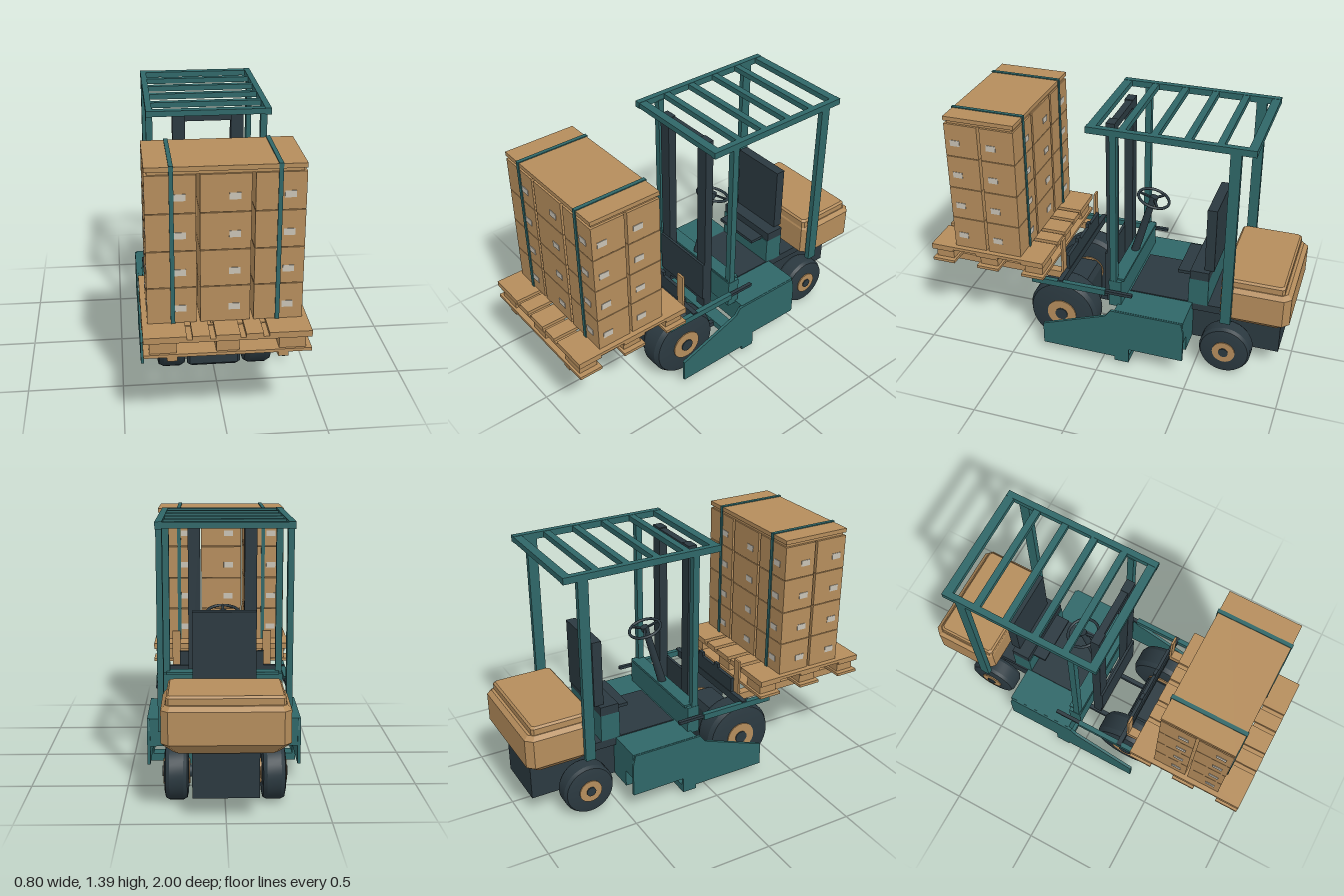
import * as THREE from 'three';
import { toCreasedNormals } from 'three/addons/utils/BufferGeometryUtils.js';

const paint = (name, color) => Object.assign(new THREE.MeshStandardMaterial({ color }), { name });

export function createModel() {
  const root = new THREE.Group();
  root.name = 'loadedForklift';
  const teal = paint('tealPaint', 0x2f6768);
  const dark = paint('darkRubberSteel', 0x2b3940);
  const tan = paint('tan', 0xb58d5c);
  const pale = paint('paleLabel', 0xc8c2b5);

  const add = (name, geo, mat, parent = root) => {
    const m = new THREE.Mesh(geo, mat);
    m.name = name;
    parent.add(m);
    return m;
  };
  // Box given by its limits on each axis
  const box = (name, mat, x0, x1, y0, y1, z0, z1, parent = root) => {
    const m = add(name, new THREE.BoxGeometry(x1 - x0, y1 - y0, z1 - z0), mat, parent);
    m.position.set((x0 + x1) / 2, (y0 + y1) / 2, (z0 + z1) / 2);
    return m;
  };
  // The same box on both sides
  const pair = (name, mat, x0, x1, ...rest) => {
    box(name + 'Left', mat, x0, x1, ...rest);
    box(name + 'Right', mat, -x1, -x0, ...rest);
  };
  // Side profile of (z, y) points extruded between two x limits
  const profile = (name, mat, pts, x0, x1) => {
    const shape = new THREE.Shape(pts.map(p => new THREE.Vector2(...p)));
    const geo = new THREE.ExtrudeGeometry(shape, { depth: x1 - x0, bevelEnabled: false });
    geo.rotateY(-Math.PI / 2).translate(x1, 0, 0);
    return add(name, geo, mat);
  };
  // Stack of chamfered rectangles: rows of [y, x half width, z back, z front, chamfer]
  const loft = (name, mat, rows) => {
    const pos = [], idx = [];
    for (const [y, w, a, b, c] of rows)
      for (const [x, z] of [[w, a + c], [w, b - c], [w - c, b], [c - w, b], [-w, b - c], [-w, a + c], [c - w, a], [w - c, a]])
        pos.push(x, y, z);
    const last = (rows.length - 1) * 8;
    for (let r = 0; r < last; r += 8)
      for (let i = 0; i < 8; i++) {
        const j = (i + 1) % 8;
        idx.push(r + i, r + 8 + i, r + j, r + j, r + 8 + i, r + 8 + j);
      }
    for (let i = 1; i < 7; i++) {
      idx.push(0, i, i + 1);
      idx.push(last, last + i + 1, last + i);
    }
    const geo = new THREE.BufferGeometry();
    geo.setAttribute('position', new THREE.Float32BufferAttribute(pos, 3));
    geo.setIndex(idx);
    return add(name, toCreasedNormals(geo, 0.2), mat);
  };

  // Wheels: tyre, tan hub disc and dark hub cap
  const wheel = (name, x, y, z, r, w, hub) => {
    const g = new THREE.Group();
    g.name = name;
    const h = w / 2, b = r * 0.12;
    const pts = [[0, -h], [r * 0.72, -h], [r - b * 0.6, -h + b * 0.4], [r, -h + b * 1.5],
      [r, h - b * 1.5], [r - b * 0.6, h - b * 0.4], [r * 0.72, h], [0, h]].map(p => new THREE.Vector2(...p));
    add('tyre', toCreasedNormals(new THREE.LatheGeometry(pts, 36), 0.35), dark, g);
    add('hub', new THREE.CylinderGeometry(hub, hub, w + 0.012, 28), tan, g);
    add('hubCap', new THREE.CylinderGeometry(hub * 0.42, hub * 0.42, w + 0.024, 20), dark, g);
    g.rotation.z = Math.PI / 2;
    g.position.set(x, y, z);
    root.add(g);
  };
  for (const s of [-1, 1]) {
    wheel('frontWheel', s * 0.233, 0.203, 0.267, 0.197, 0.16, 0.085);
    wheel('rearWheel', s * 0.24, 0.148, -0.665, 0.142, 0.12, 0.063);
  }
  for (const [n, y, z, r] of [['frontAxle', 0.2, 0.267, 0.04], ['rearAxle', 0.148, -0.665, 0.03]]) {
    const a = add(n, new THREE.CylinderGeometry(r, r, 0.4, 16), dark);
    a.rotation.z = Math.PI / 2;
    a.position.set(0, y, z);
  }

  // Drive housing and lower rails
  loft('driveHousing', dark, [[0.02, 0.135, 0.19, 0.35, 0.015], [0.04, 0.146, 0.185, 0.37, 0.015],
    [0.25, 0.146, 0.185, 0.37, 0.015], [0.29, 0.125, 0.2, 0.34, 0.015]]);
  pair('lowerRail', dark, 0.12, 0.145, 0.02, 0.05, -0.075, 0.22);

  // Side plates with sloping front edge
  const side = [[0.347, 0.045], [0.06, 0.045], [-0.07, 0.045], [-0.07, 0.022], [-0.075, 0.05], [-0.155, 0.05],
    [-0.155, 0.11], [-0.46, 0.108], [-0.46, 0.29], [-0.445, 0.352], [-0.05, 0.352], [-0.09, 0.335], [0.347, 0.175]];
  side.splice(2, 4, [-0.075, 0.045], [-0.155, 0.05]);
  side.splice(9, 1, [-0.02, 0.31]);
  for (const s of [-1, 1]) profile('sidePlate', teal, side, s > 0 ? 0.384 : -0.4, s > 0 ? 0.4 : -0.384);

  // Main body, cross step and operator floor
  box('deck', teal, -0.39, 0.39, 0.205, 0.354, -0.455, -0.07);
  profile('bodyUnderside', teal, [[-0.455, 0.108], [-0.2, 0.108], [-0.07, 0.206], [-0.455, 0.206]], -0.3, 0.3);
  box('crossStep', teal, -0.4, 0.4, 0.02, 0.06, -0.155, -0.075);
  box('floorMat', dark, -0.19, 0.19, 0.35, 0.36, -0.44, -0.1);
  box('rearChassis', dark, -0.16, 0.16, 0.11, 0.35, -0.942, -0.455);
  box('rearDeck', dark, -0.19, 0.19, 0.31, 0.355, -0.7, -0.445);

  // Front cowl
  box('cowl', teal, -0.33, 0.33, 0.34, 0.5, -0.09, -0.02);
  box('cowlRim', teal, -0.31, 0.31, 0.495, 0.51, -0.1, -0.025);

  // Seat
  box('seatBase', teal, -0.19, 0.19, 0.35, 0.51, -0.54, -0.43);
  box('seatCushion', dark, -0.19, 0.19, 0.51, 0.562, -0.54, -0.435);
  box('seatLip', dark, -0.14, 0.14, 0.502, 0.52, -0.435, -0.355);
  box('seatBack', dark, -0.16, 0.16, 0.56, 0.935, -0.56, -0.507);

  // Steering column and wheel
  const column = add('steeringColumn', new THREE.CylinderGeometry(0.018, 0.024, 0.4, 12), dark);
  column.position.set(0, 0.675, -0.115);
  column.rotation.x = -0.28;
  const steer = new THREE.Group();
  steer.name = 'steeringWheel';
  const rim = add('steeringRim', new THREE.TorusGeometry(0.088, 0.008, 8, 28), dark, steer);
  rim.rotation.x = Math.PI / 2;
  add('steeringHub', new THREE.CylinderGeometry(0.022, 0.022, 0.025, 14), dark, steer);
  for (let i = 0; i < 3; i++) {
    const pivot = new THREE.Group();
    pivot.rotation.y = i * Math.PI * 2 / 3;
    box('steeringSpoke', dark, -0.007, 0.007, -0.004, 0.004, 0, 0.086, pivot);
    steer.add(pivot);
  }
  steer.position.set(0, 0.858, -0.17);
  steer.rotation.x = -0.3;
  root.add(steer);

  // Counterweight with raised lid
  loft('counterweight', tan, [[0.338, 0.25, -0.955, -0.68, 0.03], [0.39, 0.305, -0.998, -0.625, 0.035],
    [0.55, 0.305, -0.998, -0.625, 0.035], [0.572, 0.285, -0.975, -0.635, 0.025]]);
  loft('counterweightLid', tan, [[0.565, 0.28, -0.96, -0.625, 0.012], [0.604, 0.28, -0.96, -0.625, 0.012],
    [0.615, 0.27, -0.95, -0.635, 0.012]]);

  // Overhead guard
  pair('guardFrontPost', teal, 0.292, 0.328, 0.34, 1.37, -0.062, -0.027);
  pair('guardRearPost', teal, 0.3, 0.33, 0.36, 1.37, -0.695, -0.64);
  pair('guardRail', teal, 0.297, 0.33, 1.365, 1.4, -0.768, 0.098);
  [-0.745, -0.585, -0.42, -0.253, -0.085, 0.074].forEach((z, i) => {
    const h = i % 5 ? 0.018 : 0.023;
    box('guardBar', teal, -0.3, 0.3, 1.368, 1.398, z - h, z + h);
  });

  // Mast
  pair('mastPost', dark, 0.122, 0.19, 0.26, 1.365, -0.01, 0.038);
  box('mastTop', dark, -0.13, 0.13, 1.32, 1.36, -0.008, 0.03);
  box('mastFoot', dark, -0.19, 0.19, 0.3, 0.36, -0.01, 0.04);
  box('mastPlate', dark, -0.19, 0.19, 0.33, 0.575, 0.035, 0.05);

  // Carriage arms, crossbar and forks
  pair('carriageArm', teal, 0.345, 0.372, 0.426, 0.46, -0.01, 0.415);
  pair('carriageRod', dark, 0.345, 0.365, 0.435, 0.452, -0.16, 0);
  box('carriageBar', dark, -0.37, 0.37, 0.424, 0.468, 0.235, 0.262);
  box('carriagePlate', dark, -0.245, 0.245, 0.46, 0.552, 0.238, 0.256);
  pair('carriageLug', dark, 0.065, 0.1, 0.55, 0.575, 0.238, 0.256);
  for (const x of [-0.288, 0.24]) {
    profile('forkBlade', tan, [[0.26, 0.426], [0.9, 0.426], [0.995, 0.445], [0.995, 0.468], [0.26, 0.468]], x, x + 0.048);
    box('forkShank', tan, x, x + 0.048, 0.426, 0.67, 0.258, 0.27);
  }

  // Pallet
  for (const [a, b] of [[-0.4, -0.195], [-0.168, -0.085], [-0.058, 0.058], [0.085, 0.168], [0.195, 0.4]])
    box('deckBoard', tan, a, b, 0.558, 0.576, 0.335, 1);
  for (const z of [0.4, 0.667, 0.935]) {
    box('crossBoard', tan, -0.4, 0.4, 0.544, 0.558, z - 0.065, z + 0.065);
    box('bottomBoard', tan, -0.4, 0.4, 0.469, 0.485, z - 0.065, z + 0.065);
    for (const x of [-0.308, 0, 0.308]) {
      const w = x ? 0.064 : 0.055;
      box('palletBlock', tan, x - w, x + w, 0.485, 0.545, z - 0.052, z + 0.052);
    }
  }

  // Stacked cartons with labels on the outer faces
  const rows = [[0.472, 0.661], [0.676, 0.862]];
  const cols = [[-0.373, -0.137], [-0.119, 0.119], [0.137, 0.373]];
  for (let k = 0; k < 4; k++) {
    const y = 0.577 + k * 0.188, ly = y + 0.06;
    for (const [z0, z1] of rows) {
      for (const [x0, x1] of cols) box('carton', tan, x0, x1, y, y + 0.184, z0, z1);
      const lz = z0 + 0.103;
      pair('sideLabel', pale, 0.373, 0.376, ly, ly + 0.033, lz, lz + 0.054);
    }
    for (const [x0, x1] of cols) {
      const lx = (x0 + x1) / 2 + 0.016;
      box('frontLabel', pale, lx, lx + 0.054, ly, ly + 0.033, 0.862, 0.865);
      box('backLabel', pale, -lx - 0.054, -lx, ly, ly + 0.033, 0.469, 0.472);
    }
  }
  box('loadCover', tan, -0.373, 0.373, 1.342, 1.365, 0.47, 0.864);
  box('loadCoverCore', tan, -0.36, 0.36, 1.325, 1.345, 0.48, 0.85);

  // Straps around the load
  pair('strapFront', teal, 0.24, 0.261, 0.55, 1.369, 0.864, 0.869);
  pair('strapBack', teal, 0.24, 0.261, 0.55, 1.369, 0.464, 0.469);
  pair('strapTop', teal, 0.24, 0.261, 1.365, 1.37, 0.464, 0.869);

  return root;
}
